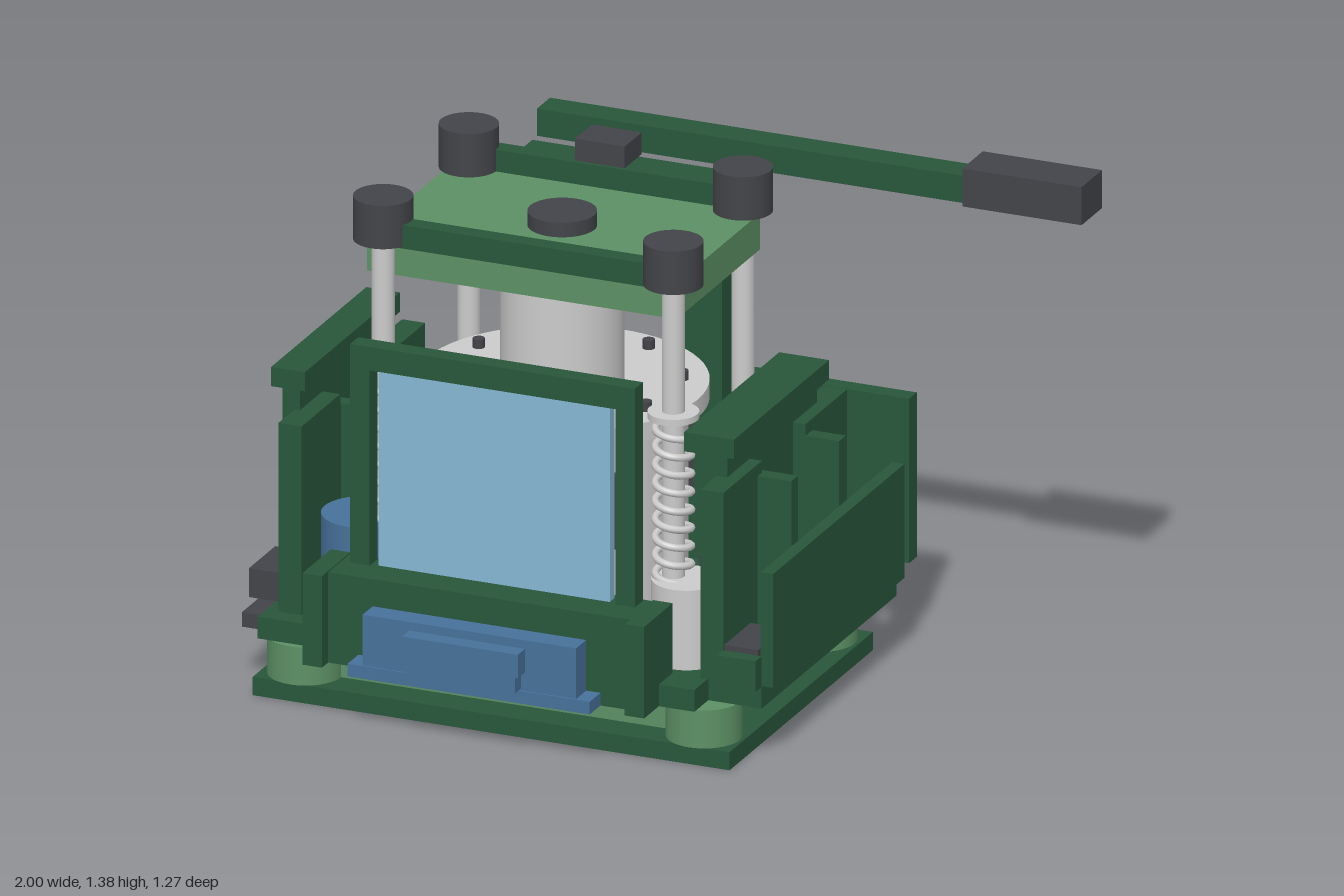
import * as THREE from 'three';

export function createModel() {
  const model = new THREE.Group();
  const mat = (color) => new THREE.MeshStandardMaterial({ color });
  const dark = mat(0x28563b), light = mat(0x5c9064), grey = mat(0xcccccc);
  const black = mat(0x434449), blue = mat(0x47719a), sky = mat(0x84b8d4), copper = mat(0x7a5636);

  const add = (name, geometry, material) => {
    const mesh = new THREE.Mesh(geometry, material);
    mesh.name = name;
    model.add(mesh);
    return mesh;
  };
  // Box given by its limits on each axis
  const box = (name, material, x0, x1, y0, y1, z0, z1) => {
    const g = new THREE.BoxGeometry(x1 - x0, y1 - y0, z1 - z0);
    return add(name, g.translate((x0 + x1) / 2, (y0 + y1) / 2, (z0 + z1) / 2), material);
  };
  // Upright cylinder given by centre, radius and height limits
  const cyl = (name, material, x, z, r, y0, y1, sides = 40) =>
    add(name, new THREE.CylinderGeometry(r, r, y1 - y0, sides).translate(x, (y0 + y1) / 2, z), material);

  const CX = -0.27, CZ = -0.022;

  // Base with rounded feet
  box('basePlate', dark, -0.94, 0.4, 0, 0.05, -0.49, 0.44);
  box('baseBlock', light, -0.83, 0.29, 0.05, 0.155, -0.395, 0.35);
  for (const x of [-0.83, 0.29])
    for (const z of [-0.395, 0.35]) cyl('baseFoot', light, x, z, 0.1, 0.05, 0.155);

  // Tray and its edge blocks
  box('tray', dark, -0.835, 0.46, 0.155, 0.215, -0.505, 0.37);
  box('trayLip', dark, 0.14, 0.31, 0.155, 0.215, 0.37, 0.46);
  box('trayLip', dark, -0.93, -0.75, 0.155, 0.215, 0.3, 0.43);
  box('trayRail', dark, 0.35, 0.46, 0.215, 0.3, 0.37, 0.41);
  box('rearTab', dark, 0.0, 0.06, 0.215, 0.3, -0.6, -0.5);

  // Main drum with flange, bolts and brackets
  cyl('drum', grey, CX, CZ, 0.325, 0.215, 0.765, 64);
  cyl('drumFlange', grey, CX, CZ, 0.38, 0.765, 0.815, 64);
  cyl('piston', grey, CX, CZ, 0.16, 0.815, 1.14, 48);
  for (let i = 0; i < 8; i++) {
    const a = (i + 0.5) * Math.PI / 4;
    cyl('flangeBolt', black, CX + 0.31 * Math.cos(a), CZ + 0.31 * Math.sin(a), 0.016, 0.815, 0.84, 12);
  }
  for (let i = 0; i < 4; i++) {
    const a = (i + 0.5) * Math.PI / 2;
    const bracket = add('drumBracket', new THREE.BoxGeometry(0.05, 0.2, 0.05), black);
    bracket.position.set(CX + 0.33 * Math.cos(a), 0.57, CZ + 0.33 * Math.sin(a));
    bracket.rotation.y = -a;
  }

  // Pressure plate with rails and centre knob
  box('topPlate', light, -0.705, 0.165, 1.14, 1.24, -0.3, 0.24);
  box('topRail', dark, -0.6, 0.115, 1.235, 1.3, 0.235, 0.285);
  box('topRail', dark, -0.6, 0.115, 1.235, 1.3, -0.35, -0.3);
  cyl('centreKnob', black, CX, CZ, 0.09, 1.24, 1.28);

  // Guide posts, each with a knob
  const posts = [[-0.655, 0.25], [0.16, 0.25], [-0.655, -0.305], [0.115, -0.305]];
  for (const [x, z] of posts) {
    cyl('guidePost', grey, x, z, 0.03, 0.215, 1.25, 24);
    cyl('postKnob', black, x, z, 0.078, 1.24, 1.36);
  }

  // Springs on the front posts
  for (const [x, z] of posts.slice(0, 2)) {
    const pts = [];
    for (let i = 0; i <= 144; i++) {
      const a = i / 16 * Math.PI * 2;
      pts.push(new THREE.Vector3(x + 0.047 * Math.cos(a), 0.42 + 0.45 * i / 144, z + 0.047 * Math.sin(a)));
    }
    add('spring', new THREE.TubeGeometry(new THREE.CatmullRomCurve3(pts), 288, 0.01, 8), grey);
    cyl('springWasher', grey, x, z, 0.067, 0.872, 0.89);
  }

  // Small cylinders standing around the drum
  cyl('springSeat', grey, 0.2, 0.255, 0.092, 0.215, 0.435);
  cyl('blueCylinder', blue, -0.705, 0.25, 0.115, 0.215, 0.475);
  cyl('copperCylinder', copper, -0.675, -0.11, 0.19, 0.215, 0.53);
  cyl('rearCylinder', grey, 0.2, -0.345, 0.17, 0.215, 0.53);

  // Corner clamps and side slab
  for (const [z0, z1] of [[-0.43, -0.19], [0.2, 0.37]]) {
    box('cornerClamp', black, -0.98, z0 < 0 ? -0.58 : -0.745, 0.24, 0.32, z0, z1);
    box('cornerClamp', black, z0 < 0 ? 0.04 : 0.29, 0.45, 0.235, 0.315, z0, z1);
  }
  box('sideSlab', black, -1, -0.8, 0.155, 0.195, -0.365, 0.37);

  // Side walls: core plate with cap, wide panels and ribs, mirrored about the drum
  for (const s of [1, -1]) {
    const sideBox = (name, d0, d1, y0, y1, z0, z1) =>
      box(name, dark, Math.min(CX + s * d0, CX + s * d1), Math.max(CX + s * d0, CX + s * d1), y0, y1, z0, z1);
    const core = s > 0 ? [0.52, 0.59] : [0.61, 0.66];
    const cap = s > 0 ? [0.475, 0.615] : [0.59, 0.685];
    sideBox('wallCore', ...core, 0.215, 0.8, -0.31, 0.27);
    sideBox('wallCap', ...cap, 0.797, 0.85, -0.332, 0.285);
    for (const [z0, z1] of [[0.125, 0.375], [-0.425, -0.155]])
      sideBox('wallPanel', 0.56, 0.625, 0.215, 0.737, z0, z1);
    for (const [z0, z1] of [[0.11, 0.155], [-0.2, -0.155]])
      sideBox('wallRib', 0.56, s > 0 ? 0.72 : 0.66, 0.215, 0.705, z0, z1);
  }
  box('innerDivider', dark, -0.87, -0.66, 0.215, 0.71, 0.08, 0.12);
  box('outerPanel', dark, 0.455, 0.49, 0.215, 0.53, -0.485, 0.365);

  // Rear panels
  box('rearPanel', dark, -0.62, 0.06, 0.155, 0.53, -0.51, -0.46);
  box('rearScreen', dark, -0.07, 0.46, 0.215, 0.67, -0.635, -0.585);

  // Lever frame and lever
  for (const x of [-0.555, -0.1]) box('leverPost', dark, x, x + 0.115, 0.215, 1.265, -0.485, -0.4);
  box('leverCrossbar', dark, -0.555, 0.015, 1.19, 1.265, -0.485, -0.4);
  box('leverArm', dark, -0.54, 0.665, 1.28, 1.355, -0.565, -0.48);
  box('leverGrip', black, 0.665, 1, 1.28, 1.385, -0.59, -0.457);
  box('leverLink', grey, -0.305, -0.235, 0.995, 1.32, -0.365, -0.325);
  box('linkPin', black, -0.32, -0.22, 1.11, 1.175, -0.375, -0.3);
  box('linkHead', black, -0.34, -0.2, 1.32, 1.38, -0.375, -0.265);

  // Front window
  box('windowPost', dark, -0.67, -0.615, 0.4, 1.01, 0.378, 0.43);
  box('windowPost', dark, 0.075, 0.13, 0.4, 1.01, 0.378, 0.43);
  box('windowHeader', dark, -0.615, 0.075, 0.945, 1.01, 0.378, 0.43);
  box('windowPane', sky, -0.595, 0.055, 0.4, 0.945, 0.388, 0.42);

  // Front housing with blue drawer
  box('frontHousing', dark, -0.7, 0.16, 0.155, 0.405, 0.37, 0.515);
  for (const x of [-0.75, 0.155]) box('housingCheek', dark, x, x + 0.055, 0.155, 0.408, 0.37, 0.555);
  box('drawerFace', blue, -0.57, 0.03, 0.185, 0.33, 0.51, 0.58);
  box('drawerLip', blue, -0.61, 0.07, 0.155, 0.19, 0.51, 0.585);
  box('drawerHandleTop', blue, -0.435, -0.11, 0.245, 0.31, 0.588, 0.635);
  box('drawerHandleBottom', blue, -0.425, -0.12, 0.2, 0.245, 0.593, 0.63);

  return model;
}
